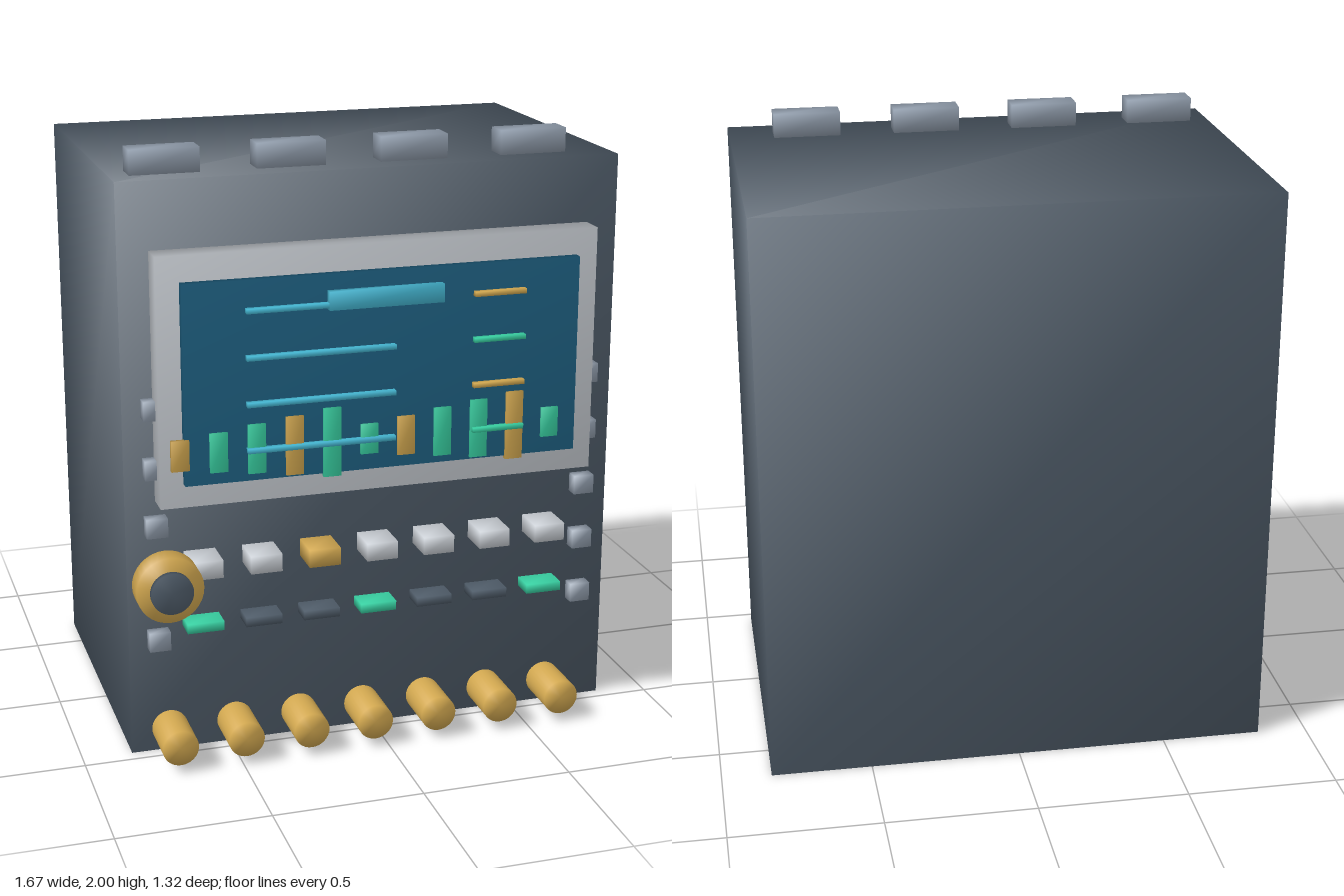
import * as THREE from 'three';
import { mergeVertices } from 'three/addons/utils/BufferGeometryUtils.js';

const material = (name, color) => {
  const m = new THREE.MeshStandardMaterial({ color });
  m.name = name;
  return m;
};

// Weld the corners so normals run smoothly over every edge
function soften(geometry) {
  geometry.deleteAttribute('normal');
  geometry.deleteAttribute('uv');
  const welded = mergeVertices(geometry, 1e-4);
  welded.computeVertexNormals();
  return welded;
}

export function createModel() {
  const group = new THREE.Group();
  const slate = material('slate', 0x4f5c69);
  const steel = material('steel', 0x8f9baa);
  const silver = material('silver', 0xcbd0d6);
  const gold = material('gold', 0xd2a850);
  const green = material('green', 0x38d0a2);
  const cyan = material('cyan', 0x45b8d4);
  const teal = material('screen teal', 0x1f6284);

  // Box given by its limits on each axis
  function box(name, mat, [x0, x1], [y0, y1], [z0, z1]) {
    const mesh = new THREE.Mesh(soften(new THREE.BoxGeometry(x1 - x0, y1 - y0, z1 - z0)), mat);
    mesh.name = name;
    mesh.position.set((x0 + x1) / 2, (y0 + y1) / 2, (z0 + z1) / 2);
    group.add(mesh);
  }

  // Round knob pointing forwards
  function knob(name, mat, x, y, radius, z0, z1) {
    const geometry = new THREE.CylinderGeometry(radius, radius, z1 - z0, 32);
    geometry.rotateX(Math.PI / 2);
    const mesh = new THREE.Mesh(soften(geometry), mat);
    mesh.name = name;
    mesh.position.set(x, y, (z0 + z1) / 2);
    group.add(mesh);
  }

  const around = (c, size) => [c - size / 2, c + size / 2];

  // Case, screen frame and screen
  box('case', slate, [-0.835, 0.835], [0, 1.92], [-0.66, 0.455]);
  box('screenFrame', silver, [-0.735, 0.732], [0.88, 1.7], [0.455, 0.545]);
  box('screen', teal, [-0.66, 0.66], [0.96, 1.615], [0.545, 0.575]);

  // Blocks along the top
  for (let i = 0; i < 4; i++) {
    box('topBlock', steel, around(-0.658 + i * 0.41, 0.226), [1.92, 2], [0.28, 0.367]);
  }

  // Level bars on the screen: colour, bottom, top
  const bars = [
    [gold, 1.015, 1.115], [green, 1.0, 1.13], [green, 0.985, 1.148], [gold, 0.968, 1.163],
    [green, 0.95, 1.18], [green, 1.015, 1.115], [gold, 1.0, 1.13], [green, 0.985, 1.148],
    [green, 0.968, 1.163], [gold, 0.95, 1.18], [green, 1.015, 1.115],
  ];
  bars.forEach(([mat, y0, y1], i) => {
    box('levelBar', mat, around(-0.676 + i * 0.1244, 0.058), [y0, y1], [0.567, 0.585]);
  });

  // Readout lines and title strip
  for (let i = 0; i < 4; i++) {
    const y = around(1.52 - i * 0.152, 0.016);
    box('readoutLine', cyan, [-0.46, 0.03], y, [0.577, 0.598]);
    box('valueLine', i % 2 ? green : gold, [0.295, 0.47], y, [0.577, 0.598]);
  }
  box('titleStrip', cyan, [-0.193, 0.187], [1.505, 1.565], [0.577, 0.605]);

  // Two rows of keys and the row of round knobs
  for (let i = 0; i < 7; i++) {
    const x = -0.593 + i * 0.1967;
    box('key', i === 2 ? gold : silver, around(x, 0.105), [0.637, 0.697], [0.455, 0.572]);
    box('lampKey', i % 3 ? slate : green, around(x, 0.122), [0.438, 0.47], [0.455, 0.535]);
    knob('lowerKnob', gold, -0.71 + i * 0.2212, 0.09, 0.06, 0.48, 0.645);
  }

  // Side keys down both edges
  for (let i = 0; i < 5; i++) {
    for (const side of [-1, 1]) {
      box('sideKey', steel, around(side * 0.738, 0.07), around(0.405 + i * 0.197, 0.064), [0.455, 0.5]);
    }
  }

  // Large dial with a dark cap
  knob('dial', gold, -0.727, 0.635, 0.11, 0.553, 0.625);
  knob('dialCap', slate, -0.727, 0.635, 0.069, 0.637, 0.658);

  return group;
}
